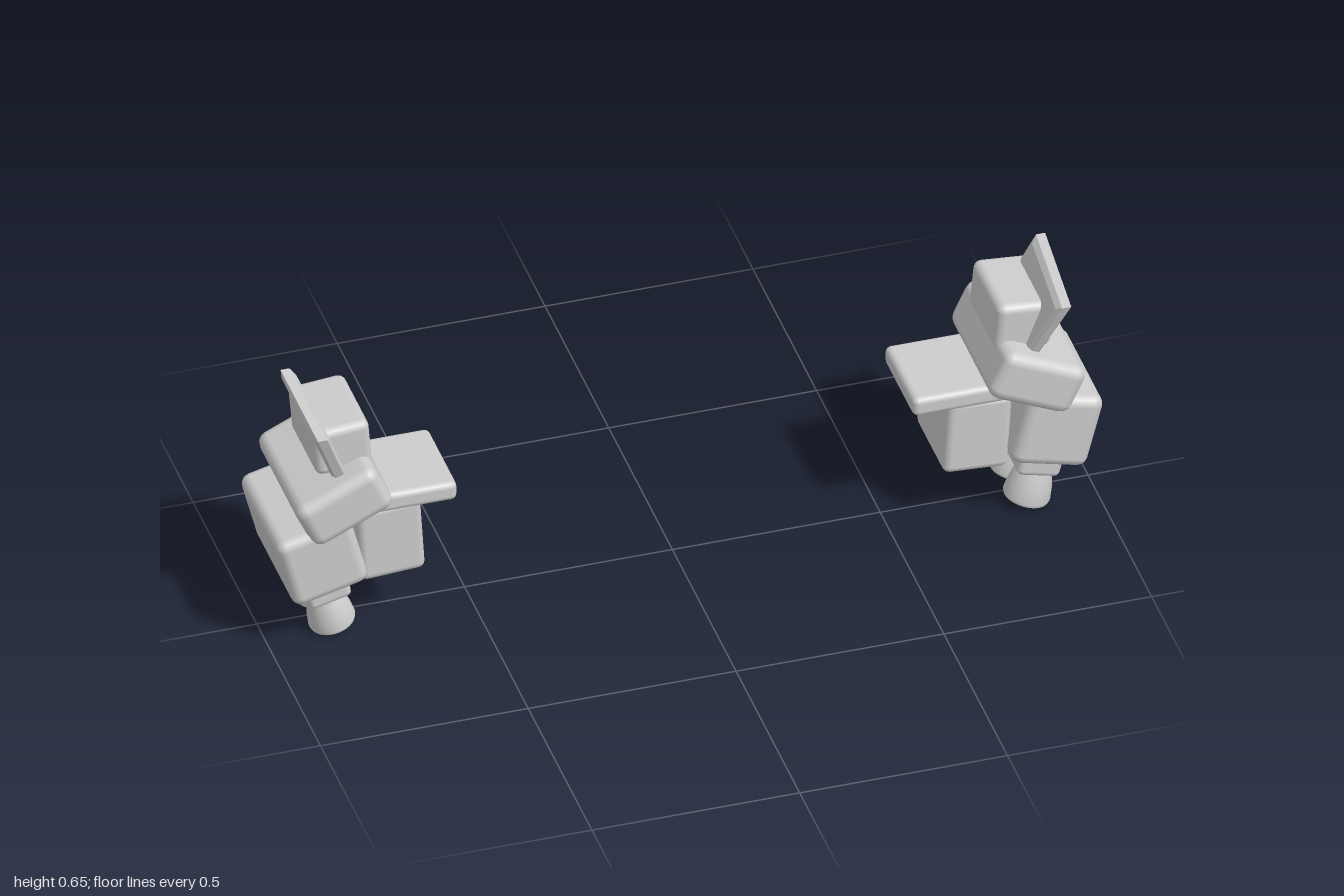
import * as THREE from 'three';
import { RoundedBoxGeometry } from 'three/addons/geometries/RoundedBoxGeometry.js';

const grey = new THREE.MeshStandardMaterial({ color: 0xcccccc });
grey.name = 'grey';

// Armour blocks: name, [width, height, depth], [x, y, z], tilt in degrees, bevel
const BLOCKS = [
  ['lowerArmour', [0.187, 0.192, 0.313], [0.885, 0.25, -0.003], 14.5, 0.025],
  ['shoulderArmour', [0.214, 0.128, 0.34], [0.834, 0.402, -0.003], 25, 0.028],
  ['headBlock', [0.138, 0.124, 0.213], [0.82, 0.523, -0.011], 5, 0.02],
  ['innerBlock', [0.157, 0.2, 0.225], [0.706, 0.245, -0.011], 3.5, 0.018],
  ['sidePlate', [0.25, 0.05, 0.233], [0.673, 0.355, -0.011], 0, 0.015],
  ['hipBlock', [0.105, 0.19, 0.213], [0.873, 0.19, -0.003], 14.5, 0.014],
];

function add(group, name, geometry) {
  const mesh = new THREE.Mesh(geometry, grey);
  mesh.name = name;
  group.add(mesh);
  return mesh;
}

// Leaning plate with wide shallow bevels, sheared outward with height
function finGeometry(side) {
  const shape = new THREE.Shape([
    [0.103, 0.42], [-0.14, 0.42], [-0.075, 0.655], [0.175, 0.62],
  ].map(([z, y]) => new THREE.Vector2(z, y)));
  const geo = new THREE.ExtrudeGeometry(shape, {
    depth: 0.022, bevelEnabled: true, bevelThickness: 0.007,
    bevelSize: 0.014, bevelOffset: -0.014, bevelSegments: 1,
  });
  geo.translate(0, 0, -0.011);
  geo.rotateY(-Math.PI / 2);
  const p = geo.attributes.position;
  for (let i = 0; i < p.count; i++) {
    p.setX(i, p.getX(i) + side * (0.905 - (0.645 - p.getY(i)) * 0.39));
  }
  geo.computeVertexNormals();
  return geo;
}

// Flared foot with a flat sole
function footGeometry() {
  const profile = [[0.053, 0], [0.056, 0.008], [0.052, 0.04], [0.044, 0.072], [0.034, 0.1], [0.03, 0.125]]
    .map(([r, y]) => new THREE.Vector2(r, y));
  return new THREE.LatheGeometry(profile, 32);
}

function makeFigure(side) {
  const figure = new THREE.Group();
  figure.name = side > 0 ? 'leftFigure' : 'rightFigure';

  for (const [name, size, pos, tilt, bevel] of BLOCKS) {
    const block = add(figure, name, new RoundedBoxGeometry(...size, 2, bevel));
    block.position.set(side * pos[0], pos[1], pos[2]);
    block.rotation.z = -side * THREE.MathUtils.degToRad(tilt);
  }

  add(figure, 'headFin', finGeometry(side));

  // Pair of feet, one behind the other
  for (const [name, z] of [['frontFoot', 0.053], ['rearFoot', -0.059]]) {
    const foot = new THREE.Group();
    foot.name = name;
    add(foot, name + 'Cone', footGeometry());
    add(foot, name + 'Sole', new THREE.CircleGeometry(0.053, 32).rotateX(Math.PI / 2));
    foot.position.set(side * 0.834, 0.016, z);
    foot.rotation.z = -side * THREE.MathUtils.degToRad(15);
    figure.add(foot);
  }
  return figure;
}

export function createModel() {
  const model = new THREE.Group();
  model.name = 'mirroredPair';
  for (const side of [1, -1]) model.add(makeFigure(side));
  return model;
}
